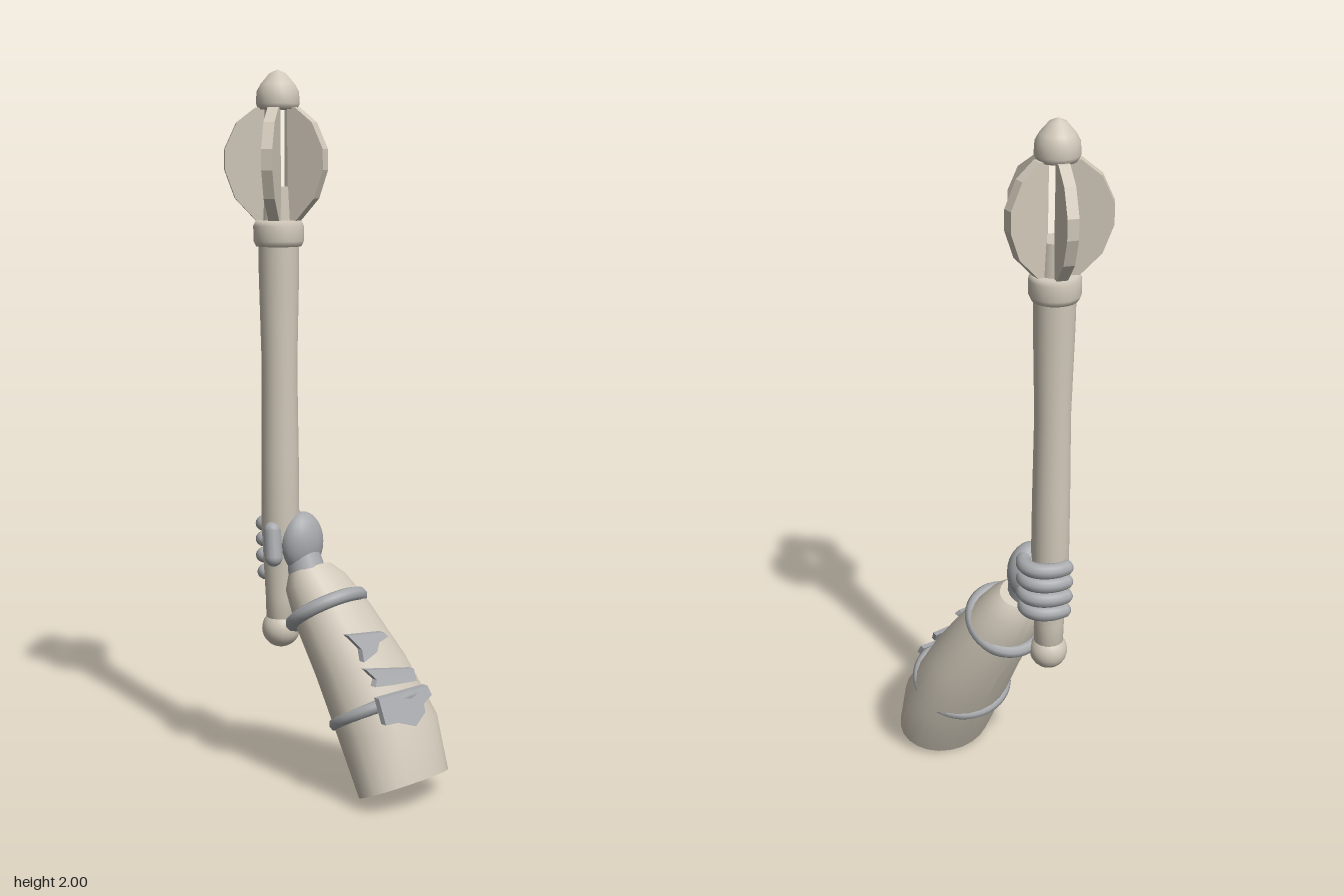
import * as THREE from 'three';

const beige = new THREE.MeshStandardMaterial({ color: 0xd0c8b9 });
beige.name = 'bone beige';
const grey = new THREE.MeshStandardMaterial({ color: 0xa6a8ab });
grey.name = 'cool grey';

const V = (x, y, z) => new THREE.Vector3(x, y, z);

function add(parent, name, geometry, material, x = 0, y = 0, z = 0) {
  const mesh = new THREE.Mesh(geometry, material);
  mesh.name = name;
  mesh.position.set(x, y, z);
  parent.add(mesh);
  return mesh;
}

function lathe(points, segments = 24) {
  return new THREE.LatheGeometry(points.map(([r, y]) => new THREE.Vector2(r, y)), segments);
}

// A tilted oval: [left x, right x, front z, front y, back z, back y]
function ovalPoint([x0, x1, fz, fy, bz, by], u, v) {
  return V((x0 + x1) / 2 + u * (x1 - x0) / 2,
    (fy + by) / 2 + v * (fy - by) / 2,
    (fz + bz) / 2 + v * (fz - bz) / 2);
}

// Closed tube through a stack of tilted ovals, bottom to top
function loft(rings) {
  const n = rings.length - 1;
  const g = new THREE.CylinderGeometry(1, 1, 1, 24, n).rotateY(Math.PI);
  const p = g.attributes.position;
  for (let i = 0; i < p.count; i++) {
    const ring = rings[Math.round((p.getY(i) + 0.5) * n)];
    const q = ovalPoint(ring, p.getX(i), p.getZ(i));
    p.setXYZ(i, q.x, q.y, q.z);
  }
  g.computeVertexNormals();
  return g;
}

// Round strap following a tilted oval
function strap(ring, radius) {
  const pts = [];
  for (let i = 0; i < 16; i++) {
    const a = i / 16 * Math.PI * 2;
    pts.push(ovalPoint(ring, Math.cos(a), Math.sin(a)));
  }
  return new THREE.TubeGeometry(new THREE.CatmullRomCurve3(pts, true), 40, radius, 8, true);
}

// Thin ragged plate, sheared so that it lies on the sloping sleeve
function plate(outline, topZ, slope) {
  const shape = new THREE.Shape(outline.map(([x, y]) => new THREE.Vector2(x, y)));
  const g = new THREE.ExtrudeGeometry(shape, { depth: 0.018, bevelEnabled: false });
  const p = g.attributes.position;
  const topY = outline[0][1];
  for (let i = 0; i < p.count; i++) {
    p.setZ(i, p.getZ(i) + topZ + (topY - p.getY(i)) * slope);
  }
  g.computeVertexNormals();
  return g;
}

function buildMace() {
  const mace = new THREE.Group();
  mace.name = 'mace';
  mace.position.set(-0.085, 0, -0.15);

  add(mace, 'shaft', lathe([[0, 0.43], [0.04, 0.43], [0.043, 0.55], [0.053, 0.75],
    [0.052, 0.95], [0.049, 1.2], [0.055, 1.45], [0.056, 1.56]]), beige);
  add(mace, 'pommel', new THREE.SphereGeometry(0.054, 20, 14), beige, 0, 0.455, 0);
  add(mace, 'collar', lathe([[0.045, 1.53], [0.062, 1.53], [0.069, 1.545], [0.069, 1.585],
    [0.062, 1.6], [0, 1.602]]), beige);
  add(mace, 'headSocket', new THREE.CylinderGeometry(0.042, 0.047, 0.1, 16), beige, 0, 1.64, 0);
  add(mace, 'cap', lathe([[0, 1.895], [0.052, 1.895], [0.059, 1.91], [0.057, 1.942],
    [0.046, 1.962], [0.022, 1.99], [0, 2]]), beige);

  // Five flanges around an open core
  const outline = [[0.037, 1.6], [0.062, 1.6], [0.118, 1.66], [0.145, 1.735], [0.145, 1.79],
    [0.112, 1.86], [0.06, 1.9], [0.037, 1.9]];
  const shape = new THREE.Shape(outline.map(([x, y]) => new THREE.Vector2(x, y)));
  const flange = new THREE.ExtrudeGeometry(shape, { depth: 0.03, bevelEnabled: false });
  flange.translate(0, 0, -0.015);
  for (let i = 0; i < 5; i++) {
    add(mace, 'flange', flange, beige).rotation.y = i * Math.PI * 2 / 5;
  }
  return mace;
}

function buildHand() {
  const hand = new THREE.Group();
  hand.name = 'hand';

  const palm = new THREE.SphereGeometry(1, 20, 14).scale(0.068, 0.088, 0.05);
  add(hand, 'palm', palm, grey, -0.05, 0.705, -0.1);
  add(hand, 'wrist', new THREE.CylinderGeometry(0.05, 0.055, 0.1, 16), grey, -0.05, 0.635, -0.085)
    .rotation.x = -0.4;

  // Fingers curl from the palm around the left side to the back of the shaft
  [0.755, 0.71, 0.663, 0.615].forEach((y, i) => {
    const pts = [];
    for (let k = 0; k <= 8; k++) {
      const a = THREE.MathUtils.degToRad(60 - k * 20);
      const r = i === 3 ? 0.066 : 0.072;
      pts.push(V(-0.085 + Math.cos(a) * (r + 0.008), y - 0.004 * (k - 4) / 4, -0.15 + Math.sin(a) * r * 0.8));
    }
    const finger = new THREE.TubeGeometry(new THREE.CatmullRomCurve3(pts), 20, 0.022, 10);
    add(hand, 'finger', finger, grey);
    const tip = pts[pts.length - 1];
    add(hand, 'fingertip', new THREE.SphereGeometry(0.022, 10, 8), grey, tip.x, tip.y, tip.z);
  });

  // Thumb on the right side of the shaft
  const thumb = add(hand, 'thumb', new THREE.CapsuleGeometry(0.025, 0.075, 6, 12), grey, -0.136, 0.71, -0.125);
  thumb.rotation.z = -0.12;
  thumb.rotation.x = -0.2;
  return hand;
}

function buildSleeve() {
  const sleeve = new THREE.Group();
  sleeve.name = 'sleeve';

  add(sleeve, 'sleeveBody', loft([
    [-0.09, 0.203, 0.3, 0.095, 0.1, 0.003],
    [-0.098, 0.214, 0.255, 0.24, 0.015, 0.16],
    [-0.11, 0.17, 0.165, 0.4, -0.055, 0.33],
    [-0.12, 0.115, 0.065, 0.545, -0.118, 0.47],
    [-0.12, 0.07, 0, 0.625, -0.14, 0.56],
    [-0.105, 0.03, -0.035, 0.653, -0.13, 0.605],
  ]), beige);

  add(sleeve, 'upperStrap', strap([-0.122, 0.09, 0.047, 0.575, -0.118, 0.46], 0.02), grey);
  add(sleeve, 'lowerStrap', strap([-0.094, 0.182, 0.218, 0.31, 0.01, 0.19], 0.018), grey);

  // Ragged plates down the front
  add(sleeve, 'topPlate', plate([[-0.09, 0.49], [-0.06, 0.45], [-0.07, 0.42], [-0.01, 0.435],
    [0.01, 0.455], [0.05, 0.462], [0.04, 0.475]], 0.108, 0.6), grey);
  add(sleeve, 'middlePlate', plate([[-0.08, 0.405], [-0.055, 0.375], [-0.07, 0.36], [0.0, 0.352],
    [0.085, 0.345], [0.09, 0.375]], 0.168, 0.55), grey);
  add(sleeve, 'bottomPlate', plate([[-0.07, 0.33], [-0.075, 0.265], [-0.03, 0.262], [0.03, 0.24],
    [0.08, 0.265], [0.085, 0.285], [0.125, 0.3], [0.12, 0.325]], 0.206, 0.5), grey);
  return sleeve;
}

export function createModel() {
  const model = new THREE.Group();
  model.name = 'armWithMace';
  model.add(buildMace(), buildHand(), buildSleeve());
  return model;
}
